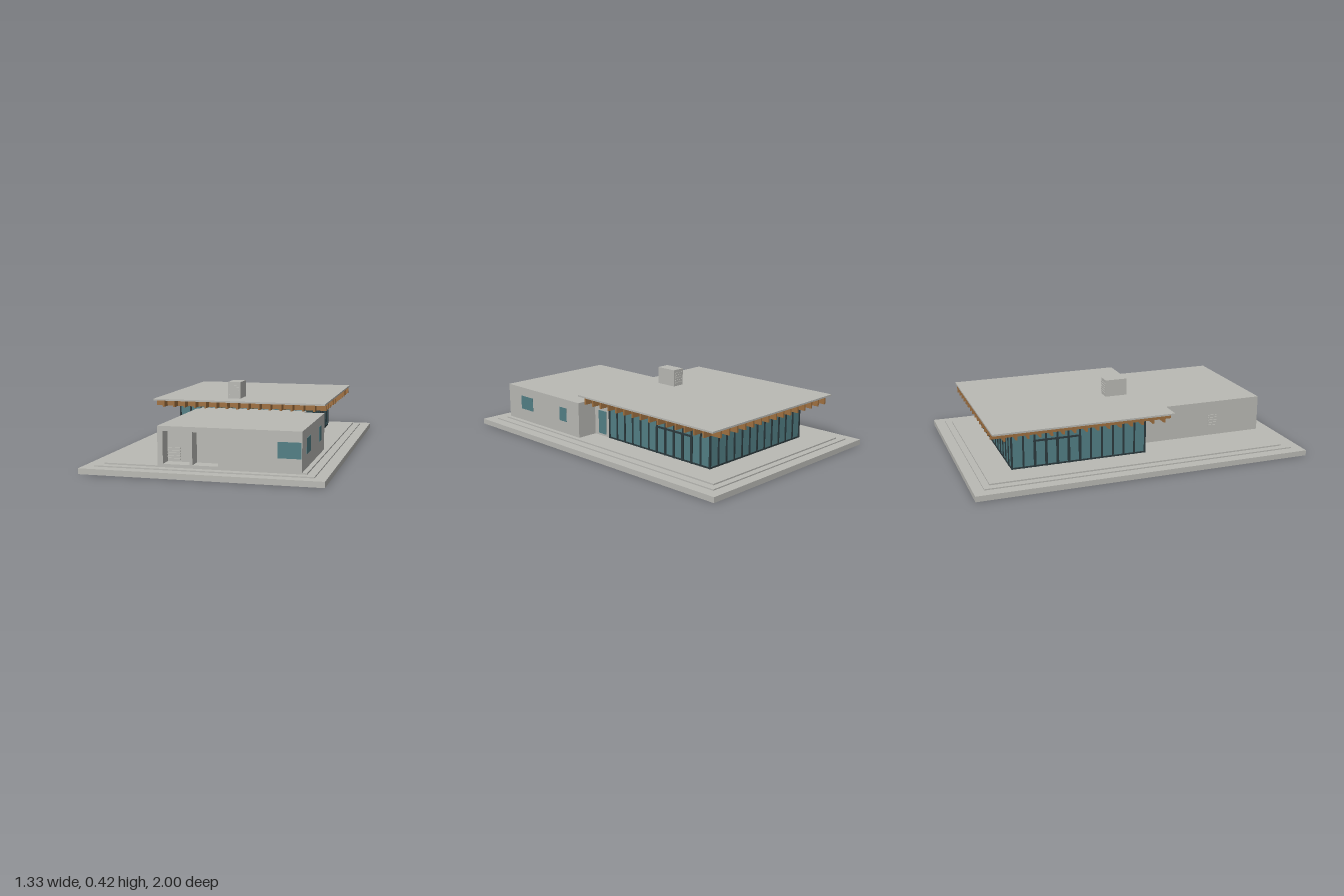
import * as THREE from 'three';

const material = (name, color) => {
  const m = new THREE.MeshStandardMaterial({ color });
  m.name = name;
  return m;
};

export function createModel() {
  const concrete = material('concrete', 0xb9b9b4);
  const glass = material('glass', 0x527f85);
  const frame = material('dark frame', 0x2c3a3e);
  const wood = material('wood', 0x9f7040);

  const house = new THREE.Group();
  house.name = 'house';

  // Box given by its limits on each axis
  const box = (name, mat, x0, x1, y0, y1, z0, z1, parent = house) => {
    const mesh = new THREE.Mesh(new THREE.BoxGeometry(x1 - x0, y1 - y0, z1 - z0), mat);
    mesh.position.set((x0 + x1) / 2, (y0 + y1) / 2, (z0 + z1) / 2);
    mesh.name = name;
    parent.add(mesh);
    return mesh;
  };
  const group = (name) => {
    const g = new THREE.Group();
    g.name = name;
    house.add(g);
    return g;
  };

  // Stepped plinth
  box('plinthLower', concrete, -0.667, 0.667, 0, 0.032, -1, 1);
  box('plinthMiddle', concrete, -0.603, 0.603, 0.032, 0.039, -0.938, 0.935);
  box('plinthUpper', concrete, -0.56, 0.557, 0.039, 0.047, -0.9, 0.89);

  // Front wing: solid body with a pierced front wall that forms two niches
  const wing = group('frontWing');
  const wx0 = -0.255, wx1 = 0.53, wy0 = 0.047, wy1 = 0.262, depth = 0.08;
  box('wingBody', concrete, wx0, wx1, wy0, wy1, 0.198, 0.89 - depth, wing);
  const rect = (path, x0, x1, y0, y1) =>
    path.moveTo(x0, y0).lineTo(x1, y0).lineTo(x1, y1).lineTo(x0, y1).closePath();
  const wall = rect(new THREE.Shape(), wx0, wx1, wy0, wy1);
  for (const [x0, x1] of [[-0.225, -0.075], [-0.06, 0.082]]) {
    wall.holes.push(rect(new THREE.Path(), x0, x1, 0.057, 0.235));
  }
  const frontWall = new THREE.Mesh(
    new THREE.ExtrudeGeometry(wall, { depth, bevelEnabled: false }), concrete);
  frontWall.position.z = 0.89 - depth;
  frontWall.name = 'frontWall';
  wing.add(frontWall);

  // Slatted vents: in the niche and on the side wall
  for (let i = 0; i < 5; i++) {
    const y = 0.068 + i * 0.0145;
    box('nicheSlat', concrete, -0.222, -0.15, y, y + 0.008, 0.81, 0.82, wing);
    const v = 0.105 + i * 0.016;
    box('sideVentSlat', concrete, wx0 - 0.006, wx0, v, v + 0.008, 0.545, 0.605, wing);
  }

  // Wing windows
  box('frontWindow', glass, 0.402, 0.527, 0.118, 0.204, 0.888, 0.892, wing);
  for (const [z0, z1] of [[0.645, 0.763], [0.313, 0.378]]) {
    box('sideWindow', glass, 0.528, 0.532, 0.122, 0.207, z0, z1, wing);
  }

  // Recessed link between the wing and the pavilion
  box('link', concrete, wx0, 0.4, wy0, 0.254, 0.07, 0.198);
  box('linkDoor', glass, 0.398, 0.403, 0.06, 0.203, 0.097, 0.163);

  // Glazed pavilion
  const pavilion = group('pavilion');
  const h = 0.4, zc = -0.335, y0 = 0.047, y1 = 0.266;
  box('glazing', glass, -h, h, y0, y1, zc - h, zc + h, pavilion);

  // Mullions and rails on all four sides
  const bays = 12, pitch = (2 * h) / bays, t = 0.005;
  for (let side = 0; side < 4; side++) {
    const face = new THREE.Group();
    face.name = 'glazingFrame';
    face.position.z = zc;
    face.rotation.y = (side * Math.PI) / 2;
    pavilion.add(face);
    for (let i = 0; i <= bays; i++) {
      const x = -h + i * pitch;
      box('mullion', frame, x - t, x + t, y0, y1, h - 0.004, h + 0.005, face);
    }
    box('bottomRail', frame, -h, h, y0, y0 + 0.009, h - 0.004, h + 0.004, face);
    box('topRail', frame, -h, h, y1 - 0.006, y1, h - 0.004, h + 0.004, face);
    // Door bays on the two long sides
    if (side % 2 === 1) {
      const s = side === 1 ? 1 : -1;
      const a = s * 0.0, b = s * 4 * pitch;
      const lo = Math.min(a, b), hi = Math.max(a, b);
      box('doorTransom', frame, lo, hi, 0.198, 0.208, h - 0.004, h + 0.007, face);
      for (let i = 0; i <= 4; i++) {
        const x = lo + i * pitch;
        box('doorPost', frame, x - 0.007, x + 0.007, y0, 0.203, h - 0.004, h + 0.007, face);
      }
    }
  }

  // Flat roof over a grid of timber beams
  const roof = group('roof');
  const r = 0.533;
  box('roofSlab', concrete, -r, r, 0.304, 0.314, zc - r, zc + r, roof);
  for (let i = -7; i <= 7; i++) {
    const p = i * 0.0667, w = 0.0055;
    box('lengthBeam', wood, p - w, p + w, 0.266, 0.304, zc - r, zc + r, roof);
    box('crossBeam', wood, -r, r, 0.267, 0.3035, zc + p - w, zc + p + w, roof);
  }

  // Chimney with louvred ends
  const chimney = group('chimney');
  box('chimneyStack', concrete, -0.093, -0.014, 0.314, 0.416, -0.067, 0.067, chimney);
  for (let i = 0; i < 5; i++) {
    const y = 0.33 + i * 0.015;
    box('louvre', concrete, -0.085, -0.022, y, y + 0.007, -0.071, 0.071, chimney);
  }

  return house;
}
